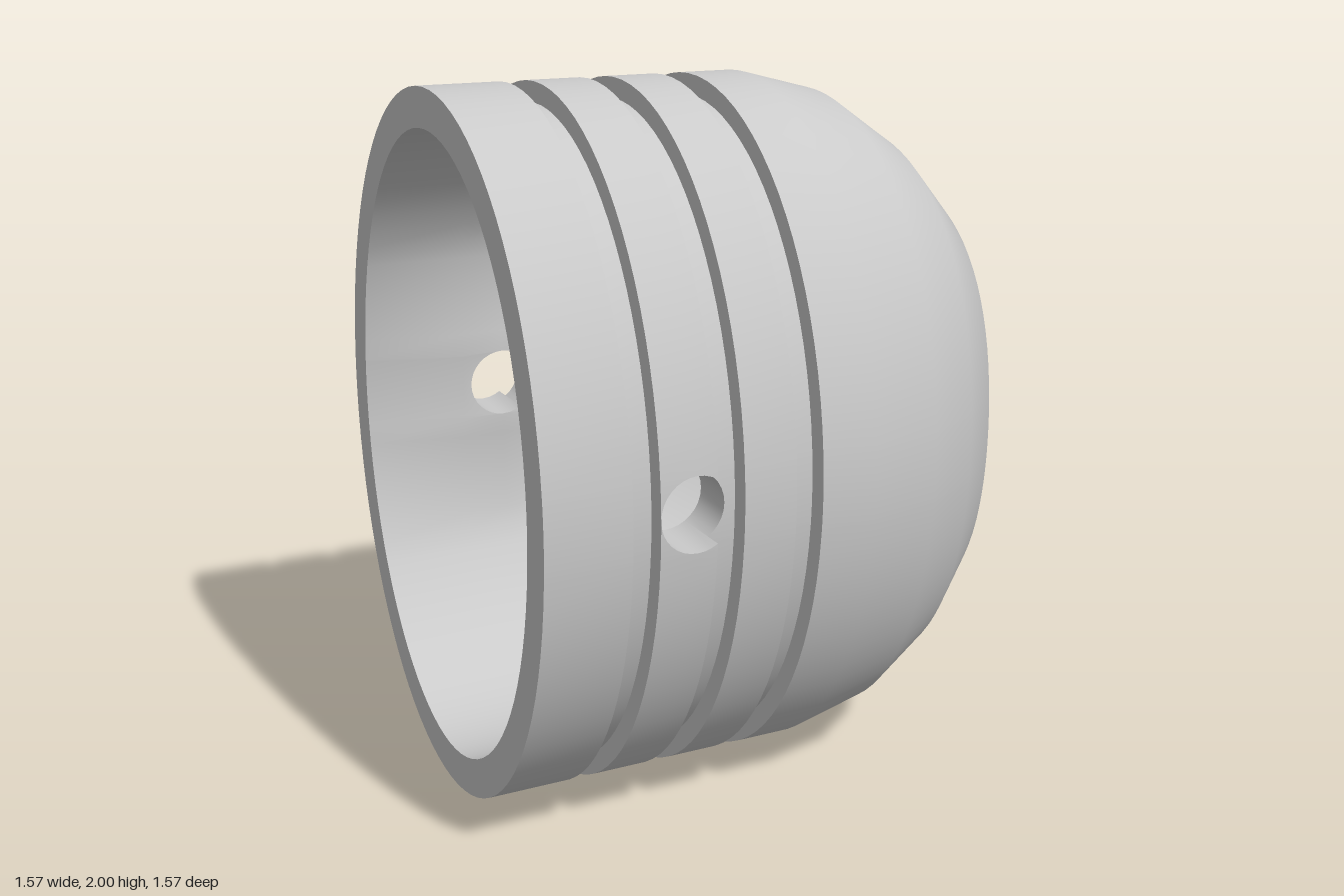
import * as THREE from 'three';
import { toCreasedNormals } from 'three/addons/utils/BufferGeometryUtils.js';

const A = 1, B = 0.786;              // half height and half depth of the oval body
const CX = -0.3725, R = 0.1025;      // cross hole: centre in x, radius
const STEP = Math.PI / 16;
const WALL = 0.11, GROOVE = 0.057, BOSS = 0.08;
const GROOVE_X = CX + R * Math.cos(5 * STEP); // groove edge that the hole cuts through

// Profile points [x, half height, half depth, boss thickness, diagonal fullness]
const wall = (x, inset, boss = 0) => [x, A - inset, B - inset, boss, 0];
const dome = (x, a, b, full) => [x, a, b, 0, full];

// Columns of one half oval, bottom to top; those across the hole follow its circle
const columns = [];
const endColumn = (end, t) => ({ end, t, h: 0, fade: Math.max(0, 1 - t / 0.3) });
for (let i = 0; i < 20; i++) columns.push(endColumn(-1, 1 - i / 20));
for (let i = -8; i <= 8; i++) {
  columns.push({ s: Math.sin(i * STEP), h: Math.abs(i) === 8 ? 0 : R * Math.cos(i * STEP), fade: 1 });
}
for (let i = 1; i <= 20; i++) columns.push(endColumn(1, i / 20));

// Point on an oval section at a column of the front (side 1) or back (side -1) half
function ringPoint([x, a, b, boss, full], col, side) {
  const edge = Math.min(R / a, 0.3);
  let angle;
  if (col.end) {
    const start = Math.asin(edge);
    angle = col.end * (start + (Math.PI / 2 - start) * col.t);
  } else angle = Math.asin(col.s * edge);
  const swell = 1 + full * Math.sin(2 * angle) ** 2;
  const depth = (b - boss * col.fade) * swell;
  return new THREE.Vector3(x, 1 + side * a * swell * Math.sin(angle), side * depth * Math.cos(angle));
}

function addQuad(out, p, q, r, s) {
  for (const [u, v, w] of [[p, q, r], [p, r, s]]) {
    const area = v.clone().sub(u).cross(w.clone().sub(u)).length();
    if (area > 1e-8) for (const k of [u, v, w]) out.push(k.x, k.y, k.z);
  }
}

function makeMesh(name, positions, material) {
  const geometry = new THREE.BufferGeometry();
  geometry.setAttribute('position', new THREE.Float32BufferAttribute(positions, 3));
  const mesh = new THREE.Mesh(toCreasedNormals(geometry, 0.6), material);
  mesh.name = name;
  return mesh;
}

// Sweep a profile around the oval, leaving the cross hole open
function sweep(profile) {
  const out = [];
  for (let k = 0; k + 1 < profile.length; k++) {
    const from = profile[k], to = profile[k + 1];
    const x0 = from[0], x1 = to[0];
    const flat = Math.abs(x1 - x0) < 1e-6;
    const dir = Math.sign(x1 - x0);
    const at = (t, col, side) => ringPoint(from.map((v, i) => v + (to[i] - v) * t), col, side);
    const param = (x) => THREE.MathUtils.clamp((x - x0) / (x1 - x0), 0, 1);
    for (const side of [1, -1]) {
      for (let i = 0; i + 1 < columns.length; i++) {
        const c = columns[i], n = columns[i + 1];
        const strip = (s, e) => addQuad(out,
          at(s(c), c, side), at(e(c), c, side), at(e(n), n, side), at(s(n), n, side));
        if (flat) {
          const inHole = (c.h + n.h) / 2 > Math.abs(x0 - CX);
          if (!inHole) strip(() => 0, () => 1);
        } else {
          strip(() => 0, (q) => param(CX - dir * q.h));
          strip((q) => param(CX + dir * q.h), () => 1);
        }
      }
    }
  }
  return out;
}

// Lining of the cross hole on both sides of the body
function holeLining() {
  const out = [];
  const point = (angle, [x, a, b, boss], side) => {
    const y = R * Math.sin(angle);
    const z = (b - boss) * Math.sqrt(1 - (y / a) ** 2);
    return new THREE.Vector3(x + R * Math.cos(angle), 1 + y, side * z);
  };
  const inside = wall(CX, WALL, BOSS);
  for (const side of [1, -1]) {
    for (let k = 0; k < 32; k++) {
      const start = k * STEP, end = start + STEP;
      const inGroove = Math.cos(start + STEP / 2) > Math.cos(5 * STEP);
      const outside = wall(CX, inGroove ? GROOVE : 0);
      const [p, q] = side > 0 ? [start, end] : [end, start];
      addQuad(out, point(p, outside, side), point(q, outside, side),
        point(q, inside, side), point(p, inside, side));
    }
  }
  return out;
}

export function createModel() {
  const group = new THREE.Group();
  group.name = 'piston';
  const metal = new THREE.MeshStandardMaterial({ color: 0xcacaca });
  metal.name = 'grey metal';

  // Outer skin: skirt, three ring grooves and rounded crown
  const outer = [wall(-0.787, 0)];
  for (const [x0, x1] of [[-0.55, CX - R], [GROOVE_X, -0.24], [-0.09, -0.012]]) {
    outer.push(wall(x0, 0), wall(x0, GROOVE), wall(x1, GROOVE), wall(x1, 0));
  }
  outer.push(wall(0.15, 0), dome(0.37, 0.943, 0.735, 0.012), dome(0.55, 0.818, 0.638, 0.03),
    dome(0.7, 0.652, 0.508, 0.045), dome(0.775, 0.46, 0.357, 0.055), dome(0.787, 0.25, 0.18, 0.055),
    dome(0.787, 0, 0, 0));
  group.add(makeMesh('outerShell', sweep(outer), metal));

  // Hollow inside, thickened around the cross hole and ending in the flat rim
  const inner = [dome(0.677, 0, 0, 0), dome(0.677, 0.24, 0.17, 0.055), dome(0.67, 0.432, 0.323, 0.055),
    dome(0.61, 0.589, 0.44, 0.045), dome(0.482, 0.732, 0.549, 0.03), dome(0.33, 0.838, 0.634, 0.012),
    wall(0.135, WALL), wall(-0.2, WALL, BOSS), wall(-0.5, WALL, BOSS), wall(-0.787, WALL), wall(-0.787, 0)];
  group.add(makeMesh('innerShellAndRim', sweep(inner), metal));

  group.add(makeMesh('pinHoles', holeLining(), metal));
  return group;
}
